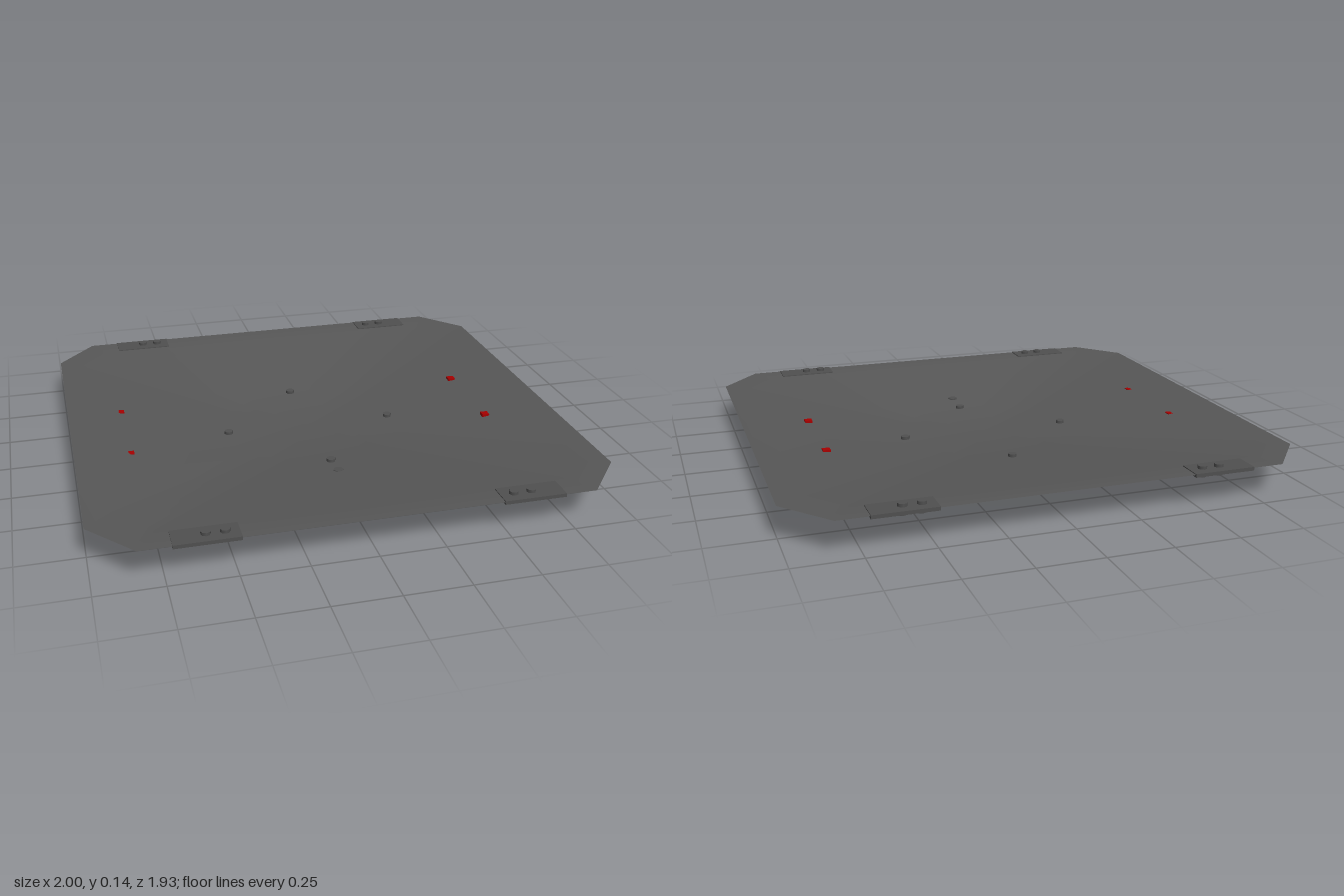
import * as THREE from 'three';

const mat = (name, color, side = THREE.FrontSide) => {
  const m = new THREE.MeshStandardMaterial({ color, side });
  m.name = name;
  return m;
};

// Octagon with cut corners, sampled along each side, counter-clockwise from above
function octagon(w, d, cx, cz, perSide = 6) {
  const c = [[w, cz], [w, -cz], [cx, -d], [-cx, -d], [-w, -cz], [-w, cz], [-cx, d], [cx, d]];
  const pts = [];
  c.forEach(([x, z], i) => {
    const [x2, z2] = c[(i + 1) % c.length];
    for (let k = 0; k < perSide; k++) {
      const t = k / perSide;
      pts.push([x + (x2 - x) * t, z + (z2 - z) * t]);
    }
  });
  return pts;
}

// Thin dished sheet: flat brim, sloping walls, flat round floor
function dishGeometry() {
  const outer = octagon(1, 0.965, 0.84, 0.775);
  const brim = octagon(0.9, 0.845, 0.76, 0.68);
  const floor = outer.map(([x, z]) => {
    const r = Math.hypot(x, z);
    return [x / r * 0.37, z / r * 0.37];
  });
  const loops = [[outer, 0.13], [brim, 0.129], [floor, 0.052], [floor.map(() => [0, 0]), 0.052]];
  const n = outer.length, pos = [], idx = [];
  loops.forEach(([pts, y]) => pts.forEach(([x, z]) => pos.push(x, y, z)));
  for (let l = 0; l < loops.length - 1; l++) {
    for (let i = 0; i < n; i++) {
      const a = l * n + i, b = l * n + (i + 1) % n;
      idx.push(a, b, b + n);
      if (l < loops.length - 2) idx.push(a, b + n, a + n);
    }
  }
  const g = new THREE.BufferGeometry();
  g.setAttribute('position', new THREE.Float32BufferAttribute(pos, 3));
  g.setIndex(idx);
  g.computeVertexNormals();
  return g;
}

export function createModel() {
  const root = new THREE.Group();
  root.name = 'dishedHatchPanel';
  const sheet = mat('sheetGrey', 0x575757, THREE.DoubleSide);
  const steel = mat('hardwareGrey', 0x505050);
  const pale = mat('paleMetal', 0xdcdcdc, THREE.DoubleSide);
  const red = mat('handleRed', 0xa80000);

  const add = (name, geo, m, x = 0, y = 0, z = 0, parent = root) => {
    const mesh = new THREE.Mesh(geo, m);
    mesh.name = name;
    mesh.position.set(x, y, z);
    parent.add(mesh);
    return mesh;
  };
  const box = (name, w, h, d, m, x, y, z, parent) =>
    add(name, new THREE.BoxGeometry(w, h, d), m, x, y, z, parent);
  const bolt = (name, r, h, x, y, z, parent) =>
    add(name, new THREE.CylinderGeometry(r, r, h, 8), steel, x, y, z, parent);

  add('dishedSheet', dishGeometry(), sheet);

  // Twelve-sided flange under the floor
  const ring = new THREE.Shape();
  const hole = new THREE.Path();
  for (let i = 0; i < 12; i++) {
    const a = i * Math.PI / 6, c = Math.cos(a), s = Math.sin(a);
    ring[i ? 'lineTo' : 'moveTo'](0.372 * c, 0.372 * s);
    hole[i ? 'lineTo' : 'moveTo'](0.3 * c, -0.3 * s);
  }
  ring.holes.push(hole);
  const flange = new THREE.ExtrudeGeometry(ring, { depth: 0.011, bevelEnabled: false });
  flange.rotateX(-Math.PI / 2);
  add('flange', flange, pale, 0, 0.04, 0);

  // Shallow bowl with a recessed base
  const profile = [[0, 0.014], [0.205, 0.014], [0.25, 0], [0.265, 0], [0.335, 0.044]]
    .map(([x, y]) => new THREE.Vector2(x, y));
  add('bowl', new THREE.LatheGeometry(profile, 48), pale);

  // Flange bolts
  for (let i = 0; i < 4; i++) {
    const a = i * Math.PI / 2;
    bolt('flangeBolt', 0.018, 0.042, 0.35 * Math.cos(a), 0.043, 0.35 * Math.sin(a));
  }

  // Edge clips, each with two bolts
  for (const sx of [-1, 1]) for (const sz of [-1, 1]) {
    const clip = new THREE.Group();
    clip.name = 'edgeClip';
    clip.position.set(sx * 0.6, 0.126, sz * 0.915);
    root.add(clip);
    box('clipPlate', 0.24, 0.014, 0.1, steel, 0, 0, 0, clip);
    for (const bx of [0, -0.068]) bolt('clipBolt', 0.018, 0.042, sx * bx, -0.002, 0, clip);
  }

  // Red grab handles on the underside
  for (const x of [-0.78, 0.72]) {
    const handle = new THREE.Group();
    handle.name = 'grabHandle';
    handle.position.x = x;
    root.add(handle);
    box('handleBar', 0.046, 0.02, 0.52, red, 0, 0.05, 0, handle);
    for (const z of [-0.2, 0.2]) box('handlePost', 0.03, 0.055, 0.03, red, 0, 0.0855, z, handle);
  }

  // Tapered latch lever with its pivot
  const lever = new THREE.Shape([[-0.03, -0.03], [0.12, -0.03], [0.32, 0.01], [0.32, 0.03], [-0.03, 0.03]]
    .map(([x, y]) => new THREE.Vector2(x, y)));
  const leverGeo = new THREE.ExtrudeGeometry(lever, { depth: 0.022, bevelEnabled: false });
  leverGeo.rotateX(-Math.PI / 2);
  add('latchLever', leverGeo, steel, 0, 0.037, 0.46);
  bolt('latchPivot', 0.02, 0.05, 0, 0.045, 0.46);

  return root;
}
